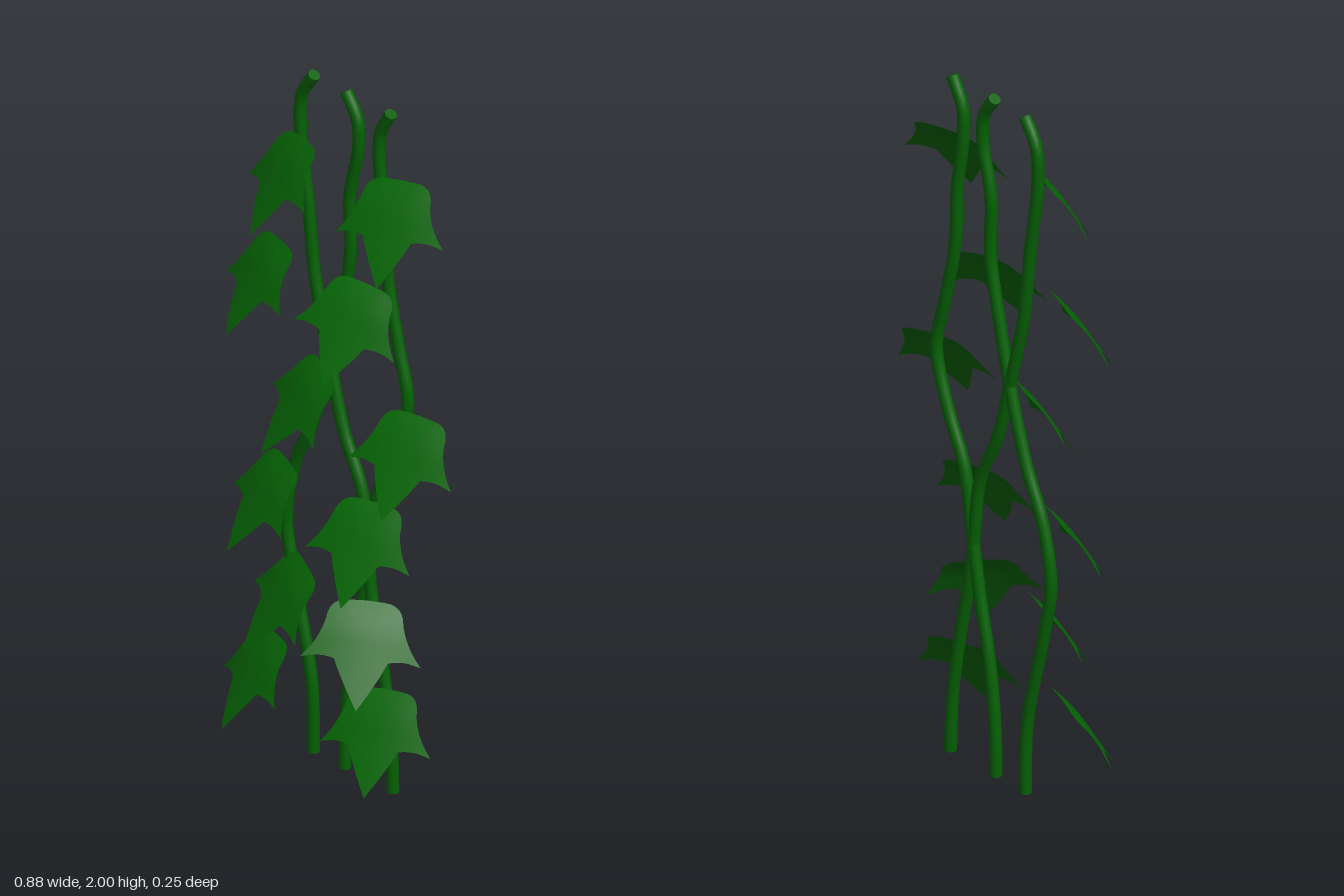
import * as THREE from 'three';
import { ParametricGeometry } from 'three/addons/geometries/ParametricGeometry.js';
import { mergeVertices } from 'three/addons/utils/BufferGeometryUtils.js';

const stemMaterial = new THREE.MeshStandardMaterial({ color: 0x056005 });
const leafMaterial = new THREE.MeshStandardMaterial({ color: 0x056505, side: THREE.DoubleSide });

// Lobed leaf hanging down from its base at the origin, gently bent backwards at the top and sides
function leafGeometry() {
  const half = new THREE.Shape();
  half.moveTo(0, 0.004);
  half.lineTo(0.05, 0.002);
  half.quadraticCurveTo(0.088, 0, 0.098, -0.035);
  half.quadraticCurveTo(0.106, -0.1, 0.157, -0.157);
  half.quadraticCurveTo(0.11, -0.142, 0.07, -0.155);
  half.quadraticCurveTo(0.052, -0.2, 0, -0.287);
  const right = half.getPoints(6);
  const left = right.slice(0, -1).reverse().map((p) => new THREE.Vector2(-p.x, p.y));
  const outline = [...right, ...left];
  const last = outline.length - 1;
  const centreY = -0.125;

  const geometry = new ParametricGeometry((u, v, target) => {
    const p = outline[Math.min(last, Math.round(u * last))];
    const x = p.x * v;
    const y = centreY + (p.y - centreY) * v;
    const top = Math.max(0, y + 0.1);
    target.set(x, y, -0.8 * x * x - 1.5 * top * top);
  }, last, 6);
  geometry.deleteAttribute('uv');
  geometry.deleteAttribute('normal');
  const merged = mergeVertices(geometry, 1e-5);
  merged.computeVertexNormals();
  return merged;
}

// Wavy stem lying in one upright plane
function makeStem(points) {
  const curve = new THREE.CatmullRomCurve3(points.map(([x, y]) => new THREE.Vector3(x, y, -0.1)));
  const group = new THREE.Group();
  group.add(new THREE.Mesh(new THREE.TubeGeometry(curve, 90, 0.017, 10), stemMaterial));
  // Flat end caps
  for (const t of [0, 1]) {
    const cap = new THREE.Mesh(new THREE.CircleGeometry(0.017, 10), stemMaterial);
    cap.position.copy(curve.getPointAt(t));
    const outward = curve.getTangentAt(t).multiplyScalar(t ? 1 : -1);
    cap.quaternion.setFromUnitVectors(new THREE.Vector3(0, 0, 1), outward);
    group.add(cap);
  }
  return group;
}

export function createModel() {
  const model = new THREE.Group();
  model.name = 'climbingVine';

  // Three stems that cross on their way up
  const stems = {
    leftStem: [[-0.16, 0], [-0.167, 0.2], [-0.235, 0.49], [-0.264, 0.65], [-0.23, 0.82], [-0.165, 0.96],
      [-0.1, 1.16], [-0.05, 1.36], [-0.018, 1.52], [-0.02, 1.69], [0.013, 1.84], [0.008, 1.92], [-0.035, 1.985]],
    middleStem: [[-0.04, 0], [-0.037, 0.13], [-0.015, 0.32], [0.025, 0.5], [0.057, 0.68], [0.09, 0.86],
      [0.155, 1.0], [0.202, 1.16], [0.165, 1.32], [0.125, 1.5], [0.118, 1.66], [0.093, 1.82], [0.096, 1.91], [0.137, 1.985]],
    rightStem: [[0.145, 0], [0.137, 0.16], [0.1, 0.38], [0.062, 0.55], [0.045, 0.7], [0.025, 0.84],
      [-0.045, 0.99], [-0.1, 1.18], [-0.155, 1.4], [-0.18, 1.6], [-0.21, 1.8], [-0.205, 1.91], [-0.158, 1.985]],
  };
  for (const [name, points] of Object.entries(stems)) {
    const stem = makeStem(points);
    stem.name = name;
    model.add(stem);
  }

  // Leaves: base x, y, z, then yaw and roll in degrees
  const leaves = [
    [-0.172, 1.815, -0.05, -18, 6],
    [-0.262, 1.48, -0.055, -18, 3],
    [-0.09, 1.17, -0.055, -18, -9],
    [-0.235, 0.845, -0.055, -18, -3],
    [-0.16, 0.565, -0.055, -18, -9],
    [-0.285, 0.315, -0.06, -20, 5],
    [0.185, 1.815, -0.08, 18, 4],
    [0.08, 1.48, -0.055, 18, -8],
    [0.28, 1.17, -0.055, 18, -4],
    [0.107, 0.85, -0.055, 18, -1],
    [0.11, 0.565, -0.04, 50, -7],
    [0.15, 0.315, -0.06, 22, 3],
  ];
  const geometry = leafGeometry();
  const rad = THREE.MathUtils.degToRad;
  leaves.forEach(([x, y, z, yaw, roll], i) => {
    const leaf = new THREE.Mesh(geometry, leafMaterial);
    leaf.name = `leaf${i + 1}`;
    leaf.position.set(x, y, z);
    leaf.rotation.set(rad(-31), rad(yaw), rad(roll), 'YXZ');
    model.add(leaf);
  });
  return model;
}
